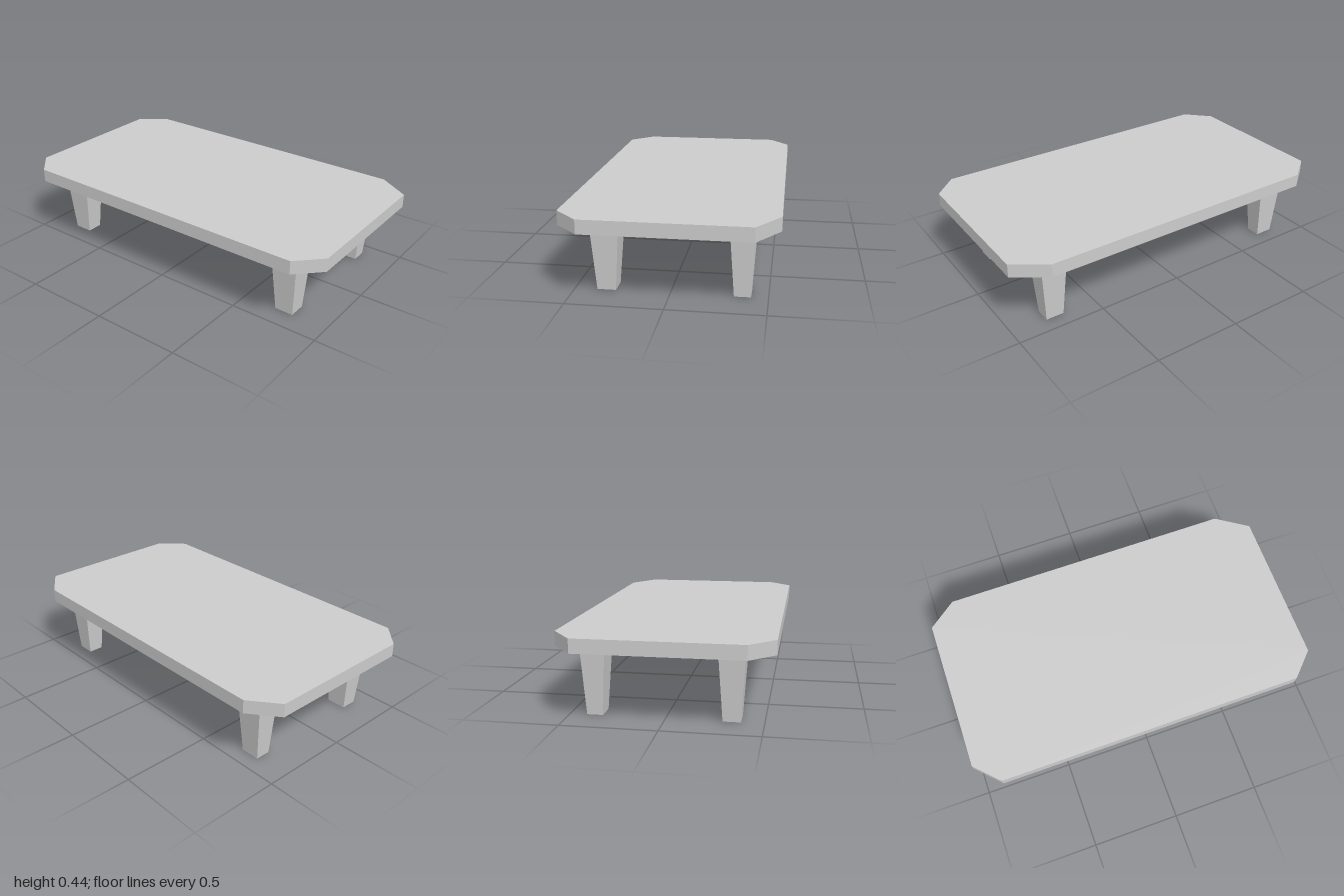
import * as THREE from 'three';

const LEG_TOP = 0.365, TOP = 0.44;

export function createModel() {
  const table = new THREE.Group();
  table.name = 'coffeeTable';
  const material = new THREE.MeshStandardMaterial({ color: 0xcccccc, flatShading: true });

  const add = (name, geometry) => {
    const mesh = new THREE.Mesh(geometry, material);
    mesh.name = name;
    table.add(mesh);
  };

  // Slab with four clipped, slightly uneven corners; outline is [x, -z]
  const outline = [
    [-0.87, -0.555], [0.87, -0.555], [1, -0.425], [1, 0.435],
    [0.82, 0.555], [-0.845, 0.555], [-1, 0.435], [-1, -0.425],
  ].map(([x, y]) => new THREE.Vector2(x, y));
  const slab = new THREE.ExtrudeGeometry(new THREE.Shape(outline), {
    depth: TOP - LEG_TOP, bevelEnabled: false,
  });
  slab.rotateX(-Math.PI / 2).translate(0, LEG_TOP, 0);
  add('tableTop', slab);

  // Tapered square leg: each range is [min, max] at the top and at the foot
  const leg = (name, topX, footX, topZ, footZ) => {
    const geometry = new THREE.BoxGeometry(1, 1, 1);
    const p = geometry.attributes.position;
    for (let i = 0; i < p.count; i++) {
      const upper = p.getY(i) > 0;
      const xs = upper ? topX : footX, zs = upper ? topZ : footZ;
      p.setXYZ(i, xs[p.getX(i) > 0 ? 1 : 0], upper ? LEG_TOP : 0, zs[p.getZ(i) > 0 ? 1 : 0]);
    }
    geometry.computeVertexNormals();
    add(name, geometry);
  };

  leg('frontLeftLeg', [0.668, 0.823], [0.693, 0.798], [0.257, 0.409], [0.284, 0.382]);
  leg('frontRightLeg', [-0.845, -0.677], [-0.815, -0.707], [0.268, 0.405], [0.29, 0.382]);
  leg('backLeftLeg', [0.67, 0.822], [0.695, 0.797], [-0.435, -0.302], [-0.412, -0.325]);
  leg('backRightLeg', [-0.84, -0.68], [-0.813, -0.708], [-0.433, -0.303], [-0.41, -0.326]);

  return table;
}
